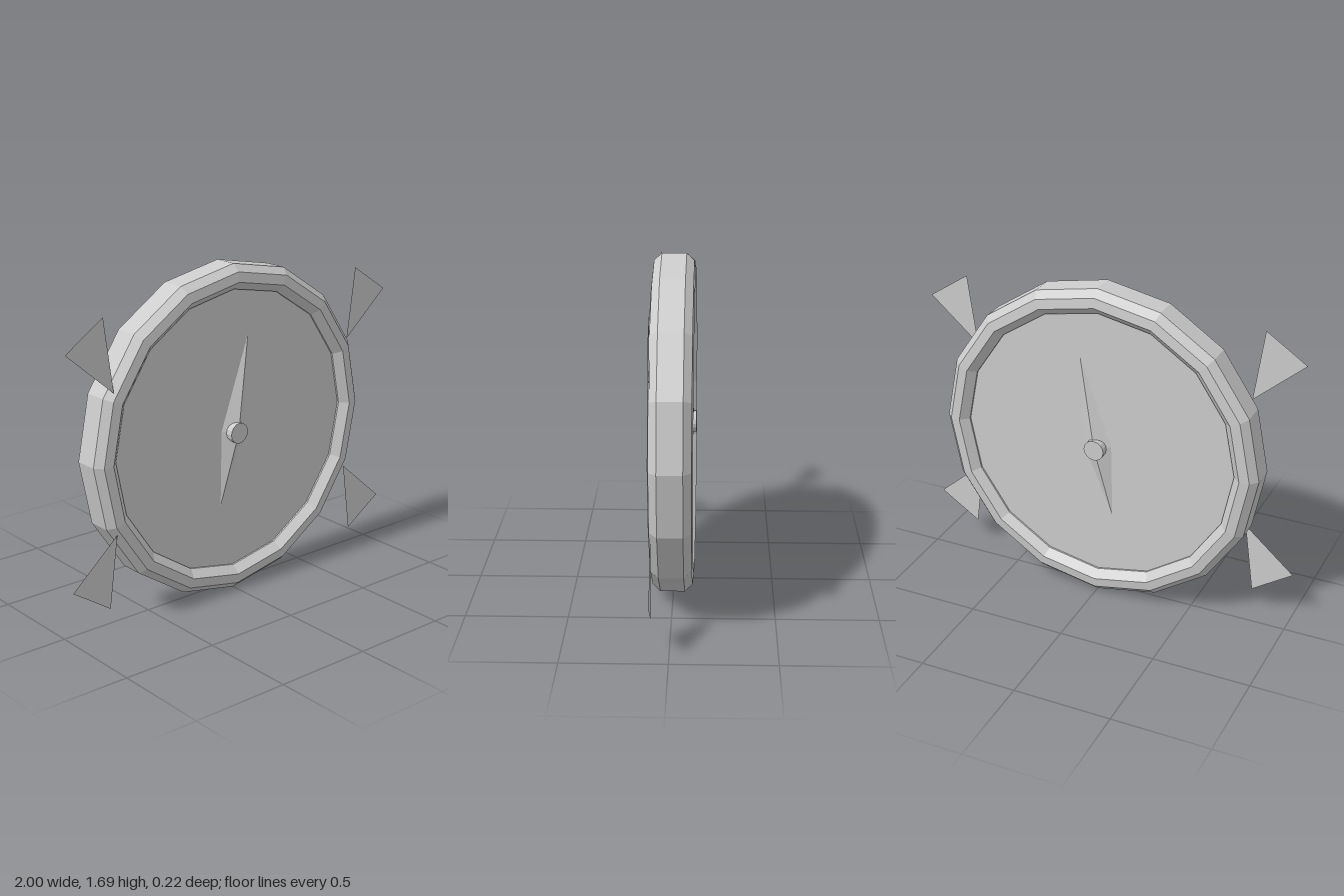
import * as THREE from 'three';

const SIDES = 16;
const CENTRE_Y = 0.85;

// Faceted copy of a geometry: every face gets its own normal
function faceted(geometry) {
  const g = geometry.index ? geometry.toNonIndexed() : geometry;
  g.computeVertexNormals();
  return g;
}

// Geometry from a list of triangles, each with three [x, y, z] corners
function fromTriangles(triangles) {
  const g = new THREE.BufferGeometry();
  g.setAttribute('position', new THREE.Float32BufferAttribute(triangles.flat(2), 3));
  g.computeVertexNormals();
  return g;
}

export function createModel() {
  const model = new THREE.Group();
  model.name = 'compass';
  const grey = new THREE.MeshStandardMaterial({ color: 0xcccccc });
  grey.name = 'grey';
  const greySheet = new THREE.MeshStandardMaterial({ color: 0xcccccc, side: THREE.DoubleSide });
  greySheet.name = 'grey sheet';

  const body = new THREE.Group();
  body.name = 'body';
  body.position.y = CENTRE_Y;
  model.add(body);

  function add(name, geometry, material = grey) {
    const mesh = new THREE.Mesh(geometry, material);
    mesh.name = name;
    body.add(mesh);
  }

  // Bevelled ring: half profile (radius, depth), mirrored front to back
  const half = [[0.845, 0.06], [0.81, 0.098], [0.76, 0.104], [0.72, 0.064], [0.72, 0.05]];
  const profile = [
    ...half.map(([r, z]) => new THREE.Vector2(r, -z)).reverse(),
    ...half.map(([r, z]) => new THREE.Vector2(r, z)),
  ];
  add('ring', faceted(new THREE.LatheGeometry(profile, SIDES).rotateX(Math.PI / 2)));

  // Dial plate, seen from both sides
  add('dial', faceted(new THREE.CylinderGeometry(0.72, 0.72, 0.11, SIDES).rotateX(Math.PI / 2)));

  // Ridged needle on each side of the dial
  for (const s of [1, -1]) {
    const base = 0.058 * s;
    const ridge = [0, 0, 0.103 * s];
    const rim = [[0.095, 0.48, base], [-0.073, 0.01, base], [-0.08, -0.38, base], [0.073, -0.01, base]];
    const faces = rim.map((a, i) => {
      const b = rim[(i + 1) % 4];
      return s > 0 ? [a, b, ridge] : [b, a, ridge];
    });
    add(s > 0 ? 'frontNeedle' : 'backNeedle', fromTriangles(faces));
  }

  // Hub pin through the middle
  add('hub', faceted(new THREE.CylinderGeometry(0.053, 0.053, 0.22, SIDES).rotateX(Math.PI / 2)));

  // Four flat pointers around the ring
  for (const sx of [1, -1]) {
    for (const sy of [1, -1]) {
      const corners = [[0.74, 0.35], [1, 0.577], [0.79, 0.717]].map(([x, y]) => [x * sx, y * sy, 0.09]);
      if (sx * sy < 0) corners.reverse();
      add((sy > 0 ? 'upper' : 'lower') + (sx > 0 ? 'Left' : 'Right') + 'Pointer', fromTriangles([corners]), greySheet);
    }
  }

  return model;
}
